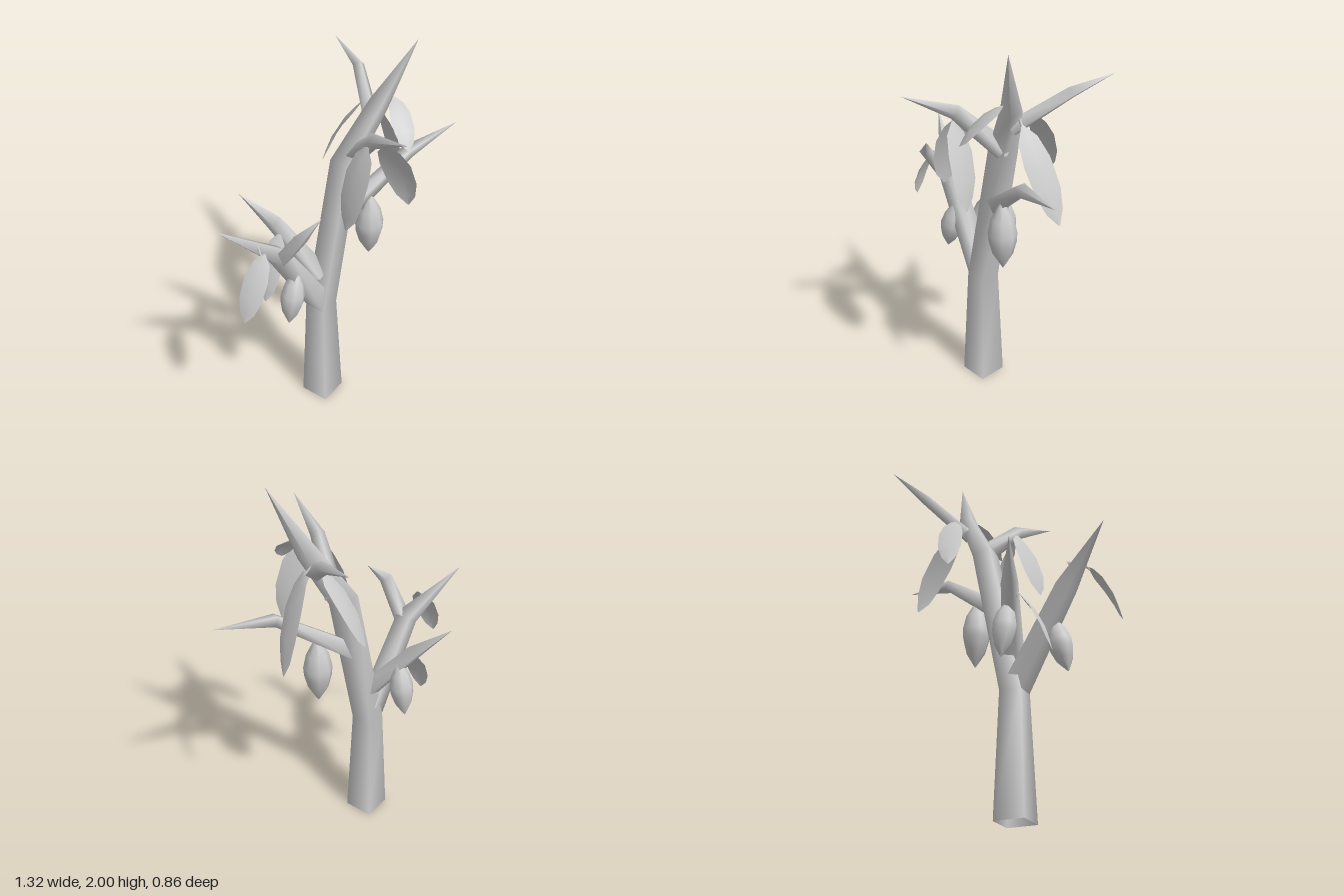
import * as THREE from 'three';

const V = (a) => new THREE.Vector3(...a);
const material = new THREE.MeshStandardMaterial({ color: 0xcccccc, side: THREE.DoubleSide });

// Builds a smooth surface from equal-length rows of points
function loft(rows, closed) {
  const n = rows[0].length, pos = [], idx = [];
  rows.forEach((row) => row.forEach((p) => pos.push(p.x, p.y, p.z)));
  for (let i = 0; i < rows.length - 1; i++) {
    for (let j = 0; j < (closed ? n : n - 1); j++) {
      const a = i * n + j, b = i * n + ((j + 1) % n);
      idx.push(a, b, b + n, a, b + n, a + n);
    }
  }
  const g = new THREE.BufferGeometry();
  g.setAttribute('position', new THREE.Float32BufferAttribute(pos, 3));
  g.setIndex(idx);
  g.computeVertexNormals();
  return g;
}

// Square-section limb; each point is [x, y, z, halfWidth]
function limb(points) {
  const centers = points.map((p) => V(p.slice(0, 3)));
  const rows = centers.map((c, i) => {
    const t = centers[Math.min(i + 1, centers.length - 1)].clone()
      .sub(centers[Math.max(i - 1, 0)]).normalize();
    if (points[i][3] > 0.054) t.set(0, 1, 0); // level rings on the trunk
    const ref = Math.abs(t.z) > 0.8 ? V([0, 1, 0]) : V([0, 0, 1]);
    const u = ref.clone().cross(t).negate().normalize();
    const w = u.clone().cross(t).normalize();
    const r = points[i][3] * Math.SQRT2;
    return [0, 1, 2, 3].map((k) => {
      const a = Math.PI / 4 + (k * Math.PI) / 2;
      return c.clone().addScaledVector(u, -r * Math.cos(a)).addScaledVector(w, r * Math.sin(a));
    });
  });
  return loft(rows, true);
}

// Thin arched leaf hanging from top to tip, spread along the side direction
function leaf(top, tip, side, width, bow) {
  const a = V(top), axis = V(tip).sub(a);
  const dir = axis.clone().normalize();
  const s = V(side).addScaledVector(dir, -V(side).dot(dir)).normalize();
  const normal = s.clone().cross(dir).normalize();
  if (normal.y < 0) normal.negate();
  const outline = [[0, 0.06], [0.04, 0.25], [0.14, 0.72], [0.36, 1], [0.66, 0.95], [0.86, 0.62], [1, 0.06]];
  const rows = outline.map(([t, w]) => [-1, 0, 1].map((k) =>
    a.clone().addScaledVector(axis, t)
      .addScaledVector(normal, bow * Math.sin(Math.PI * t) - Math.abs(k) * w * 0.012)
      .addScaledVector(s, (k * w * width) / 2)));
  return loft(rows, false);
}

// Six-sided pod with a pointed lower end
function pod(top, tip, radius) {
  const a = V(top), b = V(tip), len = a.distanceTo(b);
  const profile = [[0, 0], [0.3, 0.1], [0.78, 0.27], [1, 0.47], [0.95, 0.6], [0.7, 0.78], [0.2, 0.94], [0, 1]]
    .map(([r, t]) => new THREE.Vector2(r * radius, t * len));
  // profile runs from the tip upward after flipping
  const up = profile.map((p) => new THREE.Vector2(p.x, len - p.y)).reverse();
  const g = new THREE.LatheGeometry(up, 8);
  g.applyQuaternion(new THREE.Quaternion().setFromUnitVectors(V([0, 1, 0]), a.clone().sub(b).normalize()));
  return g.translate(b.x, b.y, b.z);
}

export function createModel() {
  const tree = new THREE.Group();
  tree.name = 'podTree';
  const add = (name, geometry) => {
    const mesh = new THREE.Mesh(geometry, material);
    mesh.name = name;
    tree.add(mesh);
  };

  // Trunk continuing into the leader
  add('trunk', limb([[-0.103, 0, -0.045, 0.076], [-0.103, 0.62, -0.045, 0.055],
    [0.065, 1.4, -0.02, 0.05], [0.21, 1.68, 0.07, 0.036], [0.32, 2, 0.2, 0]]));

  // Side branches
  const branches = {
    leftFork: [[-0.103, 0.62, -0.045, 0.05], [-0.39, 1.1, -0.075, 0.04], [-0.64, 1.33, -0.22, 0]],
    leftTwig: [[-0.38, 1.08, -0.06, 0.03], [-0.4, 1.27, 0.07, 0.024], [-0.32, 1.36, 0.13, 0]],
    backBranch: [[-0.1, 0.8, -0.05, 0.04], [-0.18, 1.08, -0.27, 0.03], [-0.25, 1.23, -0.43, 0]],
    rightBranch: [[0.0, 1.08, -0.03, 0.04], [0.36, 1.37, 0.15, 0.025], [0.655, 1.43, 0.25, 0]],
    upperBackBranch: [[0.19, 1.58, 0.05, 0.03], [0.36, 1.75, -0.15, 0.022], [0.445, 1.815, -0.35, 0]],
    upperFrontBranch: [[0.1, 1.42, 0, 0.036], [-0.02, 1.64, 0.2, 0.026], [-0.12, 1.75, 0.43, 0]],
  };
  for (const [name, points] of Object.entries(branches)) add(name, limb(points));

  // Hanging leaves: top, tip, width direction, width, arch
  [
    [[-0.2, 1.05, -0.22], [-0.36, 0.73, -0.2], [0.1, 0, 1], 0.12, 0.03],
    [[-0.5, 1.19, -0.06], [-0.66, 0.88, -0.07], [0.35, 0, 1], 0.115, 0.03],
    [[-0.03, 1.61, 0.17], [-0.165, 1.21, 0.15], [-0.35, 0, 1], 0.165, 0.025],
    [[0.01, 1.62, 0.24], [0.155, 1.23, 0.29], [0.2, 0, 1], 0.16, 0.03],
    [[0.26, 1.62, 0.05], [0.47, 1.18, 0.01], [-0.4, 0, 1], 0.135, 0.03],
    [[0.25, 1.65, -0.04], [0.17, 1.28, -0.23], [1, 0, -0.3], 0.125, 0.03],
    [[0.23, 1.73, 0.14], [0.12, 1.55, 0.3], [0.85, 0, 0.5], 0.105, 0.025],
  ].forEach((args, i) => add(`leaf${i + 1}`, leaf(...args)));

  // Fine stalks joining leaves and pods to the wood
  [
    [[0.22, 1.64, 0.03], [0.27, 1.59, 0.05]],
    [[0.27, 1.67, -0.06], [0.25, 1.62, -0.05]],
    [[-0.02, 1.63, 0.19], [-0.03, 1.58, 0.17]],
    [[-0.19, 1.1, -0.27], [-0.2, 1.02, -0.22]],
    [[-0.48, 1.2, -0.12], [-0.51, 1.17, -0.07]],
    [[0.13, 1.2, 0.04], [0.16, 1.16, 0.07]],
  ].forEach(([a, b], i) => add(`stalk${i + 1}`, limb([[...a, 0.005], [...b, 0.004]])));

  // Pods
  add('rightPod', pod([0.155, 1.21, 0.07], [0.16, 0.83, 0.065], 0.072));
  add('leftPod', pod([-0.3, 0.98, -0.04], [-0.375, 0.68, -0.04], 0.06));
  add('backPod', pod([-0.14, 1.03, -0.2], [-0.13, 0.71, -0.26], 0.06));
  return tree;
}
